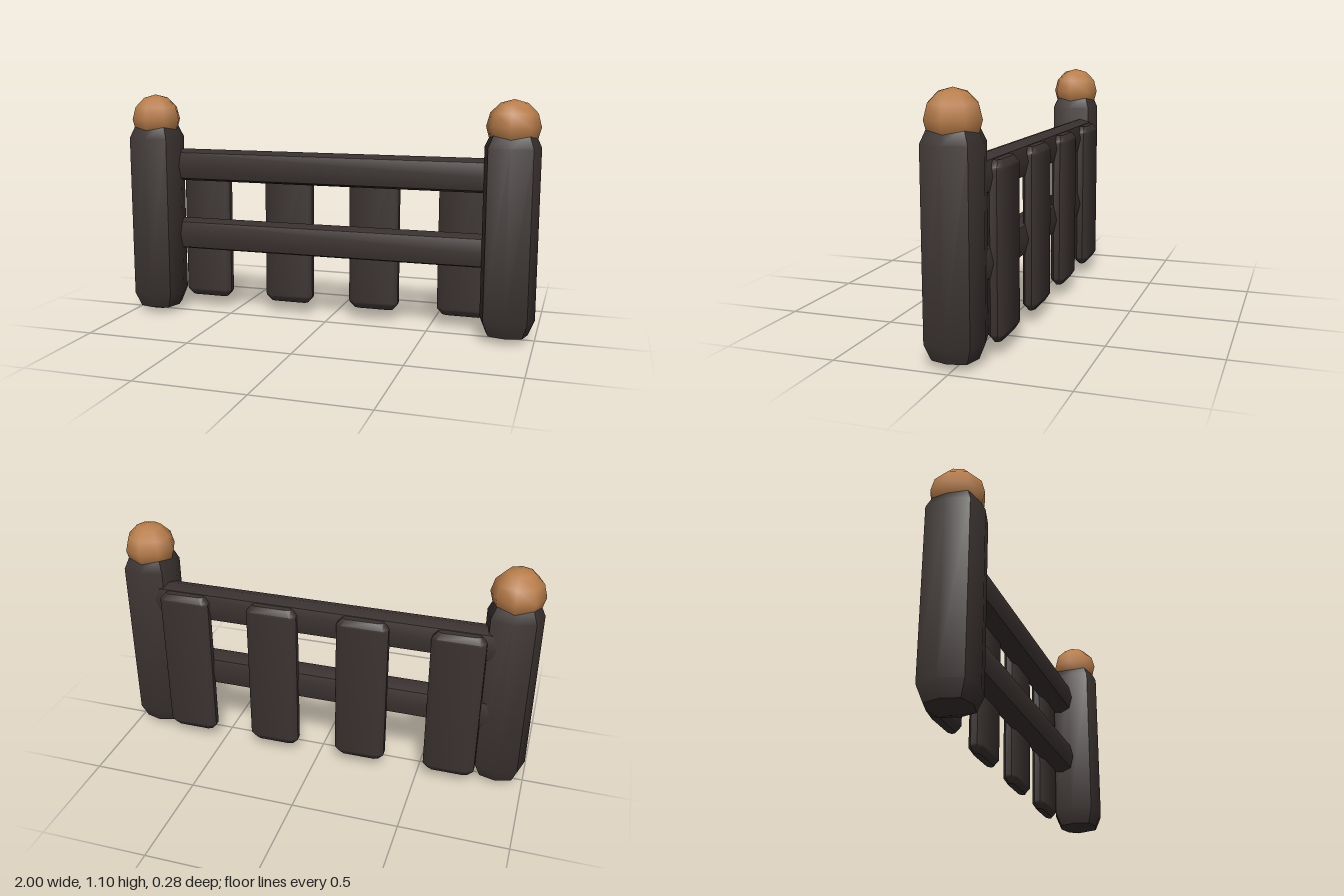
import * as THREE from 'three';
import { toCreasedNormals } from 'three/addons/utils/BufferGeometryUtils.js';

const darkWood = new THREE.MeshStandardMaterial({ color: 0x3a3230 });
const knobWood = new THREE.MeshStandardMaterial({ color: 0xb87d4b });

// Beam along y: an eight-point section swept through stations [y, scaleX, scaleZ]
function softBeam(section, stations) {
  const positions = [];
  const n = section.length;
  const at = ([y, sx, sz], i) => {
    const [x, z] = section[i % n];
    return [x * sx, y, z * sz];
  };
  for (let s = 0; s < stations.length - 1; s++) {
    const low = stations[s], high = stations[s + 1];
    for (let i = 0; i < n; i++) {
      if (low[1] > 0) positions.push(...at(low, i), ...at(high, i), ...at(low, i + 1));
      if (high[1] > 0) positions.push(...at(high, i), ...at(high, i + 1), ...at(low, i + 1));
    }
  }
  const geometry = new THREE.BufferGeometry();
  geometry.setAttribute('position', new THREE.Float32BufferAttribute(positions, 3));
  return toCreasedNormals(geometry, 0.7);
}

// Bulging square section: mid-side points stand out a little beyond the corners
function bulgedSection(hx, hz, cx, cz) {
  return [[hx, 0], [cx, cz], [0, hz], [-cx, cz], [-hx, 0], [-cx, -cz], [0, -hz], [cx, -cz]];
}

// Flat board section with bevelled long edges
function boardSection(hx, hz, bx, bz) {
  return [[hx, -bz], [hx, bz], [bx, hz], [-bx, hz], [-hx, bz], [-hx, -bz], [-bx, -hz], [bx, -hz]];
}

function addMesh(parent, name, geometry, material, x, y, z) {
  const mesh = new THREE.Mesh(geometry, material);
  mesh.name = name;
  mesh.position.set(x, y, z);
  parent.add(mesh);
  return mesh;
}

export function createModel() {
  const model = new THREE.Group();
  model.name = 'fence';

  // Posts with round knobs
  const postGeometry = softBeam(bulgedSection(0.125, 0.125, 0.098, 0.098), [
    [0, 0, 0], [0.03, 0.77, 0.77], [0.1, 1, 1],
    [0.885, 1, 1], [0.947, 0.77, 0.77], [0.977, 0, 0],
  ]);
  const knobGeometry = new THREE.SphereGeometry(0.121, 8, 6);
  for (const side of [-1, 1]) {
    const label = side > 0 ? 'left' : 'right';
    addMesh(model, label + 'Post', postGeometry, darkWood, side * 0.875, 0, 0.015);
    addMesh(model, label + 'Knob', knobGeometry, knobWood, side * 0.875, 0.974, 0.015);
  }

  // Horizontal rails, running into the posts
  const railGeometry = softBeam(bulgedSection(0.08, 0.068, 0.064, 0.053), [
    [-0.85, 0, 0], [-0.83, 0.75, 0.75], [-0.78, 1, 1],
    [0.78, 1, 1], [0.83, 0.75, 0.75], [0.85, 0, 0],
  ]);
  for (const [name, y] of [['lowerRail', 0.395], ['upperRail', 0.745]]) {
    addMesh(model, name, railGeometry, darkWood, 0, y, -0.04).rotation.z = -Math.PI / 2;
  }

  // Upright slats on the back of the rails
  const slatGeometry = softBeam(boardSection(0.122, 0.034, 0.098, 0.015), [
    [-0.373, 0, 0], [-0.373, 0.78, 0.5], [-0.345, 0.98, 1],
    [-0.335, 1, 1], [0.335, 1, 1],
    [0.345, 0.98, 1], [0.373, 0.78, 0.5], [0.373, 0, 0],
  ]);
  [-0.655, -0.218, 0.218, 0.655].forEach((x, i) => {
    addMesh(model, 'slat' + (i + 1), slatGeometry, darkWood, x, 0.433, -0.107);
  });

  return model;
}
